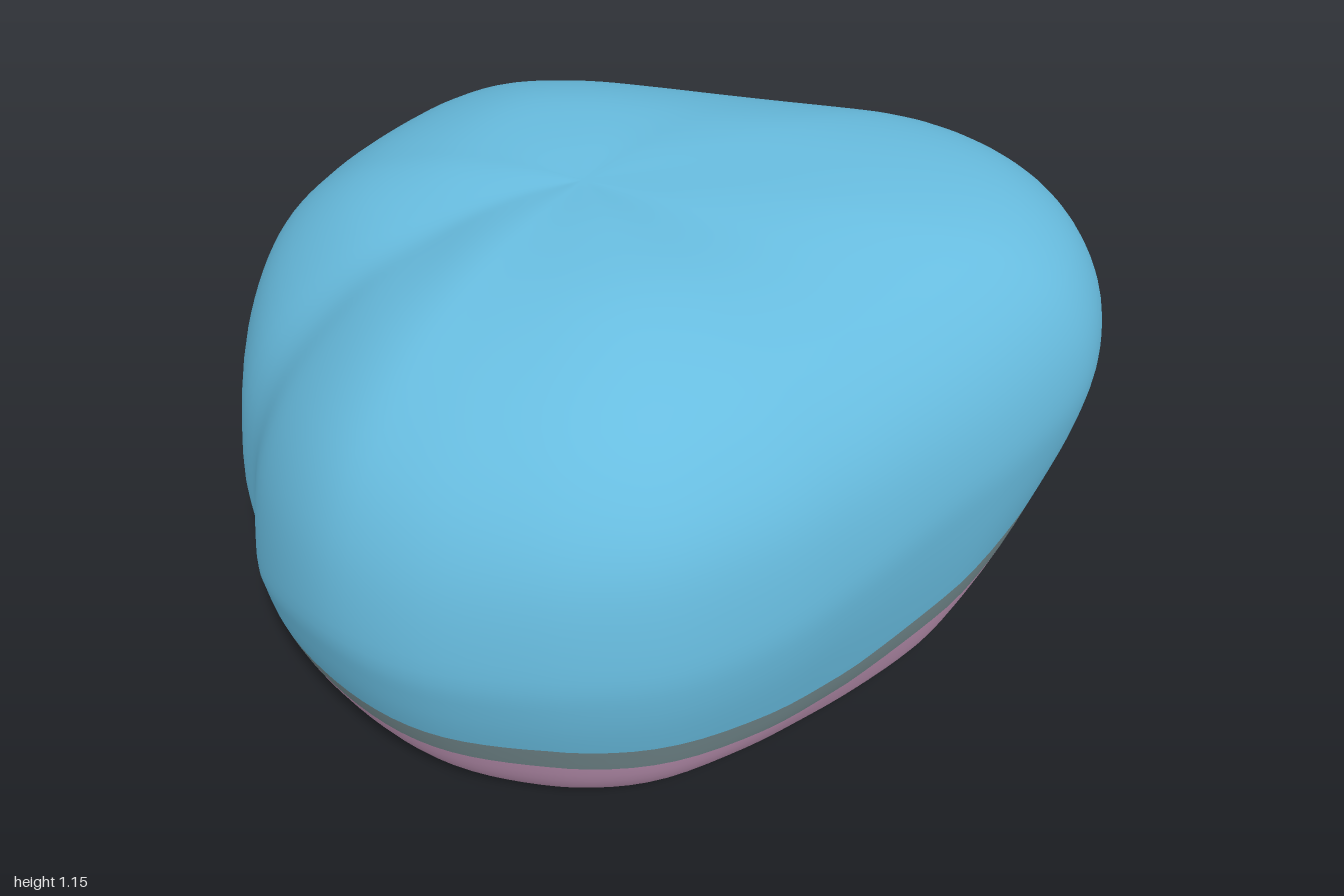
import * as THREE from 'three';
import { mergeVertices } from 'three/addons/utils/BufferGeometryUtils.js';

const CX = -0.2;      // vertical axis through the crown
const AROUND = 128;   // columns round the helmet

const mat = (name, color, side = THREE.FrontSide) => {
  const m = new THREE.MeshStandardMaterial({ color, side });
  m.name = name;
  return m;
};
const spline = (pts, closed = false) =>
  new THREE.CatmullRomCurve3(pts.map(([a, b]) => new THREE.Vector3(a, b, 0)), closed, 'catmullrom', 0.5);

// Widest outline seen from above (x, z), one half then mirrored
const half = [[1, 0], [0.988, 0.12], [0.95, 0.235], [0.885, 0.34], [0.79, 0.425], [0.6, 0.545], [0.4, 0.652], [0.2, 0.75],
  [0, 0.832], [-0.23, 0.88], [-0.42, 0.858], [-0.59, 0.79], [-0.745, 0.69], [-0.868, 0.55], [-0.95, 0.375], [-0.993, 0.18], [-0.985, 0]];
const outline = spline([...half, ...half.slice(1, -1).reverse().map(([x, z]) => [x, -z])], true);

// Vertical profiles (distance from axis, height) from the opening to the crown
const profile = (reach, pts) => spline(pts.map(([d, y]) => [d / reach, y]));
const front = profile(1.2, [[0.7, 0.015], [0.76, 0.015], [0.86, 0.06], [1.0, 0.22], [1.09, 0.38], [1.17, 0.55], [1.2, 0.7],
  [1.17, 0.83], [1.08, 0.95], [0.92, 1.04], [0.65, 1.1], [0.35, 1.13], [0, 1.15]]);
const frontCorner = profile(1, [[0.74, 0.012], [0.785, 0.012], [0.855, 0.053], [0.922, 0.2], [0.963, 0.355], [0.992, 0.52], [1, 0.66],
  [0.962, 0.81], [0.875, 0.935], [0.73, 1.035], [0.505, 1.105], [0.26, 1.138], [0, 1.15]]);
const flank = profile(0.88, [[0.575, 0.005], [0.615, 0.006], [0.69, 0.04], [0.78, 0.16], [0.83, 0.3], [0.87, 0.46], [0.88, 0.6],
  [0.85, 0.8], [0.77, 0.94], [0.64, 1.05], [0.43, 1.13], [0.2, 1.153], [0, 1.15]]);
const backCorner = profile(1, [[0.63, 0.003], [0.69, 0.003], [0.79, 0.042], [0.88, 0.15], [0.94, 0.28], [0.983, 0.42], [1, 0.55],
  [0.957, 0.745], [0.853, 0.905], [0.67, 1.03], [0.435, 1.112], [0.21, 1.145], [0, 1.15]]);
const back = profile(0.8, [[0.52, 0], [0.58, 0], [0.68, 0.05], [0.745, 0.13], [0.78, 0.22], [0.797, 0.31], [0.8, 0.4],
  [0.76, 0.64], [0.665, 0.83], [0.49, 1.0], [0.3, 1.09], [0.15, 1.135], [0, 1.15]]);
const stations = [[0, front], [38, frontCorner], [90, flank], [138, backCorner], [180, back]];

// Trim band along x: lower and upper edge heights
const trim = [[-1, 0.2, 0.255], [-0.8, 0.225, 0.295], [-0.5, 0.25, 0.328], [-0.25, 0.235, 0.312], [0, 0.2, 0.277],
  [0.2, 0.18, 0.257], [0.5, 0.213, 0.292], [0.68, 0.255, 0.335], [0.8, 0.285, 0.363], [0.88, 0.32, 0.395], [1, 0.35, 0.43]];
function trimHeight(x, edge) {
  const k = Math.max(1, trim.findIndex(row => x <= row[0]));
  const a = trim[k - 1], b = trim[k];
  return THREE.MathUtils.mapLinear(x, a[0], b[0], a[edge], b[edge]);
}

// Point on the shell for column u (0..1) and profile position t (0..1)
function shellPoint(u, t) {
  const o = outline.getPoint(u);
  const dx = o.x - CX, dz = o.y;
  const angle = THREE.MathUtils.radToDeg(Math.atan2(Math.abs(dz), dx));
  const k = Math.max(1, stations.findIndex(s => angle <= s[0]));
  const [a0, from] = stations[k - 1], [a1, to] = stations[k];
  const p = from.getPoint(t).lerp(to.getPoint(t), THREE.MathUtils.smoothstep(angle, a0, a1));
  return new THREE.Vector3(CX + dx * p.x, Math.max(0, p.y), dz * p.x);
}

// Profile position where the shell meets a band edge
function findEdge(u, edge) {
  let lo = 0.08, hi = 0.7;
  for (let k = 0; k < 22; k++) {
    const mid = (lo + hi) / 2, p = shellPoint(u, mid);
    if (p.y < trimHeight(p.x, edge)) lo = mid; else hi = mid;
  }
  return (lo + hi) / 2;
}

// Skin rows of points; each row is a closed ring
function skin(rows, flip = false) {
  const pos = [], idx = [];
  rows.forEach(r => r.forEach(p => pos.push(p.x, p.y, p.z)));
  for (let j = 0; j < rows.length - 1; j++) {
    for (let i = 0; i < AROUND; i++) {
      const n = (i + 1) % AROUND;
      const a = j * AROUND + i, b = a + AROUND, c = j * AROUND + n, d = c + AROUND;
      if (flip) idx.push(a, c, b, b, c, d);
      else idx.push(a, b, c, b, d, c);
    }
  }
  let g = new THREE.BufferGeometry();
  g.setAttribute('position', new THREE.Float32BufferAttribute(pos, 3));
  g.setIndex(idx);
  g = mergeVertices(g, 1e-5);
  g.computeVertexNormals();
  return g;
}

export function createModel() {
  const group = new THREE.Group();
  group.name = 'helmet';
  const blue = mat('shell blue', 0x68bde0);
  const grey = mat('trim grey', 0x72888c);
  const pink = mat('base pink', 0xbc92b2);
  const dark = mat('lining grey', 0x667c82, THREE.DoubleSide);

  const columns = Array.from({ length: AROUND }, (_, i) => i / AROUND);
  const edges = columns.map(u => [0, findEdge(u, 1), findEdge(u, 2), 1]);

  // Outer shell: base, trim band and dome share one smooth skin
  const counts = [14, 3, 36];
  const rows = [columns.map(u => shellPoint(u, 0))];
  counts.forEach((n, s) => {
    for (let k = 1; k <= n; k++) {
      rows.push(columns.map((u, i) => shellPoint(u, THREE.MathUtils.lerp(edges[i][s], edges[i][s + 1], k / n))));
    }
  });
  const shellGeo = skin(rows);
  let start = 0;
  counts.forEach((n, s) => {
    shellGeo.addGroup(start, n * AROUND * 6, s);
    start += n * AROUND * 6;
  });
  const shell = new THREE.Mesh(shellGeo, [pink, grey, blue]);
  shell.name = 'shell';
  group.add(shell);

  // Lining: a shallow bowl sunk into the opening
  const bowl = [];
  for (let k = 0; k <= 16; k++) {
    const s = 1 - k / 16;
    bowl.push(rows[0].map(p => new THREE.Vector3(
      THREE.MathUtils.lerp(-0.1, p.x, s), p.y * s + 0.2 * (1 - s * s), p.z * s)));
  }
  const lining = new THREE.Mesh(skin(bowl, true), dark);
  lining.name = 'lining';
  group.add(lining);

  return group;
}
